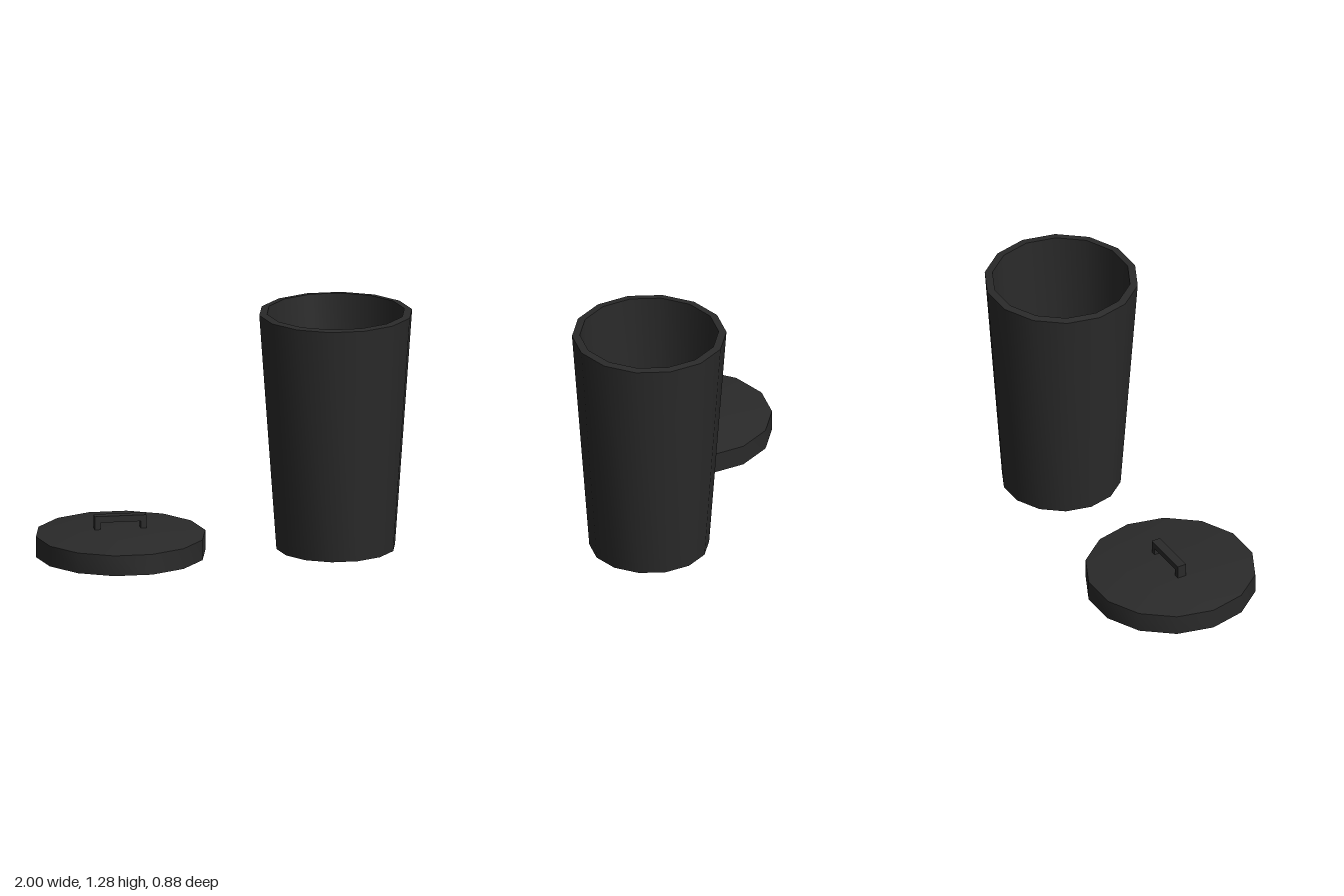
import * as THREE from 'three';
import { toCreasedNormals } from 'three/addons/utils/BufferGeometryUtils.js';

const SIDES = 14;
const material = new THREE.MeshStandardMaterial({ color: 0x2a2a2a });

// Turned solid with smooth sides and sharp rims; a corner points along +x
function turned(name, profile, x) {
  const points = profile.map(([r, y]) => new THREE.Vector2(r, y));
  const lathe = new THREE.LatheGeometry(points, SIDES, Math.PI / 2);
  const mesh = new THREE.Mesh(toCreasedNormals(lathe, 0.7), material);
  mesh.name = name;
  mesh.position.x = x;
  return mesh;
}

export function createModel() {
  const model = new THREE.Group();
  model.name = 'binWithLid';

  // Hollow tapered bin: base, outer wall, rim, inner wall, floor
  model.add(turned('bin', [
    [0, 0], [0.315, 0], [0.406, 1.275], [0.365, 1.28], [0.31, 0.04], [0, 0.04],
  ], 0.593));

  // Lid beside the bin: hollow underside, skirt, shallow dome
  const lid = new THREE.Group();
  lid.name = 'lid';
  lid.add(turned('lidShell', [
    [0, 0.125], [0.24, 0.122], [0.41, 0.105], [0.42, 0.01], [0.45, 0.01],
    [0.45, 0.12], [0.24, 0.147], [0, 0.15],
  ], -0.55));

  // Square bridge handle
  const outline = [
    [-0.137, 0.14], [-0.107, 0.14], [-0.107, 0.186], [0.107, 0.186],
    [0.107, 0.14], [0.137, 0.14], [0.137, 0.22], [-0.137, 0.22],
  ].map(([x, y]) => new THREE.Vector2(x, y));
  const handle = new THREE.Mesh(
    new THREE.ExtrudeGeometry(new THREE.Shape(outline), { depth: 0.05, bevelEnabled: false }),
    material,
  );
  handle.name = 'lidHandle';
  handle.position.set(-0.552, 0, -0.035);
  lid.add(handle);

  model.add(lid);
  return model;
}
